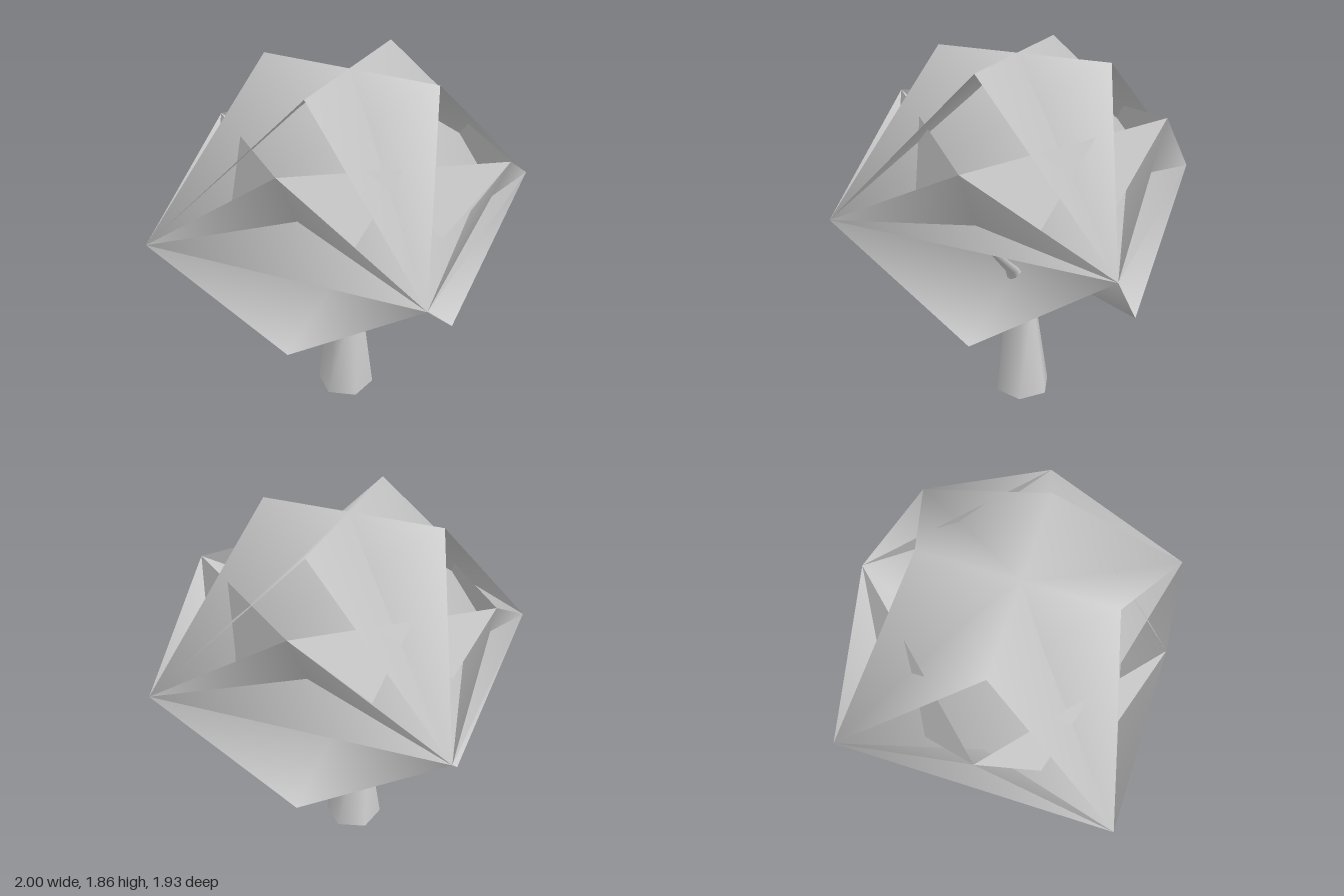
import * as THREE from 'three';

export function createModel() {
  const group = new THREE.Group();
  const grey = new THREE.MeshStandardMaterial({ color: 0xcccccc, side: THREE.DoubleSide });
  grey.name = 'pale grey';

  function add(name, geometry) {
    const mesh = new THREE.Mesh(geometry, grey);
    mesh.name = name;
    group.add(mesh);
    return mesh;
  }

  // Folded leaf card with smooth normals
  function card(name, points, faces) {
    const g = new THREE.BufferGeometry();
    g.setAttribute('position', new THREE.Float32BufferAttribute(points.flat(), 3));
    g.setIndex(faces.flat());
    g.computeVertexNormals();
    return add(name, g);
  }

  // Crown corners, running counter-clockwise from the front
  const outer = [[-0.04, 1.16, 0.96], [1, 1.14, 0.03], [-0.01, 1.16, -0.97], [-1, 1.1, -0.05]];
  const top = [[0.28, 1.85, 0.35], [0.33, 1.85, -0.28], [-0.31, 1.86, -0.3], [-0.32, 1.86, 0.31]];
  const middle = [[0.56, 1.52, 0.53], [0.5, 1.62, -0.48], [-0.5, 1.51, -0.48], [-0.5, 1.61, 0.46]];
  const low = [[0.38, 0.59, 0.45], [0.47, 0.59, -0.4], [-0.38, 0.59, -0.48], [-0.46, 0.59, 0.36]];

  // Two crossing tent-shaped cards form the top, shaded as one dome
  for (let i = 0; i < 2; i++) {
    const tent = card('topLeafTent',
      [outer[i], outer[i + 1], top[i + 1], top[(i + 3) % 4], outer[i + 2], outer[(i + 3) % 4]],
      [[0, 1, 2], [0, 2, 3], [4, 5, 3], [4, 3, 2]]);
    const { position, normal } = tent.geometry.attributes;
    const v = new THREE.Vector3();
    for (let k = 0; k < position.count; k++) {
      v.fromBufferAttribute(position, k);
      v.y -= 0.8;
      v.normalize();
      normal.setXYZ(k, v.x, v.y, v.z);
    }
  }

  for (let i = 0; i < 4; i++) {
    const next = (i + 1) % 4, prev = (i + 3) % 4;
    // Corner cards bent inwards to the fork
    const sx = Math.sign(low[i][0]), sz = Math.sign(low[i][2]);
    const m = middle[i];
    const bend = [m[0] - sx * 0.15, m[1] - 0.37, m[2] - sz * 0.14];
    const fork = [-sx * 0.01, 0.8, -sz * 0.01];
    card('cornerLeafCard',
      [outer[i], low[i], outer[next], m, bend, fork],
      [[0, 1, 5], [1, 2, 5], [2, 4, 5], [2, 3, 4], [3, 0, 4], [0, 5, 4]]);
    // Inner upright card on each side
    const o = outer[i];
    card('innerLeafCard', [[o[0] * 0.7, 1.09, o[2] * 0.7], m, middle[prev]], [[0, 1, 2]]);
  }

  // Tube through rings of [x, y, z, radius]
  function limb(name, rings, sides) {
    const g = new THREE.CylinderGeometry(1, 1, 1, sides, rings.length - 1, true);
    const p = g.attributes.position, n = sides + 1;
    for (let k = 0; k < p.count; k++) {
      const [x, y, z, r] = rings[rings.length - 1 - Math.floor(k / n)];
      p.setXYZ(k, x + p.getX(k) * r, y, z + p.getZ(k) * r);
    }
    g.computeVertexNormals();
    // Match the normals across the seam
    const m = g.attributes.normal;
    for (let k = 0; k < p.count; k += n) {
      const a = new THREE.Vector3().fromBufferAttribute(m, k)
        .add(new THREE.Vector3().fromBufferAttribute(m, k + sides)).normalize();
      m.setXYZ(k, a.x, a.y, a.z);
      m.setXYZ(k + sides, a.x, a.y, a.z);
    }
    add(name, g);
  }

  // Trunk and its four spreading branches
  limb('trunk', [[-0.022, 0, 0, 0.153], [-0.02, 0.54, 0.012, 0.083]], 6);
  for (const sx of [-1, 1]) for (const sz of [-1, 1]) {
    limb('branch', [
      [-0.02 + sx * 0.02, 0.53, 0.012 + sz * 0.02, 0.058],
      [0.01 + sx * 0.06, 0.7, sz * 0.06, 0.055],
      [sx * 0.11, 0.8, sz * 0.11, 0.038],
      [sx * 0.41, 1.16, sz * 0.41, 0.002],
    ], 5);
  }
  return group;
}
